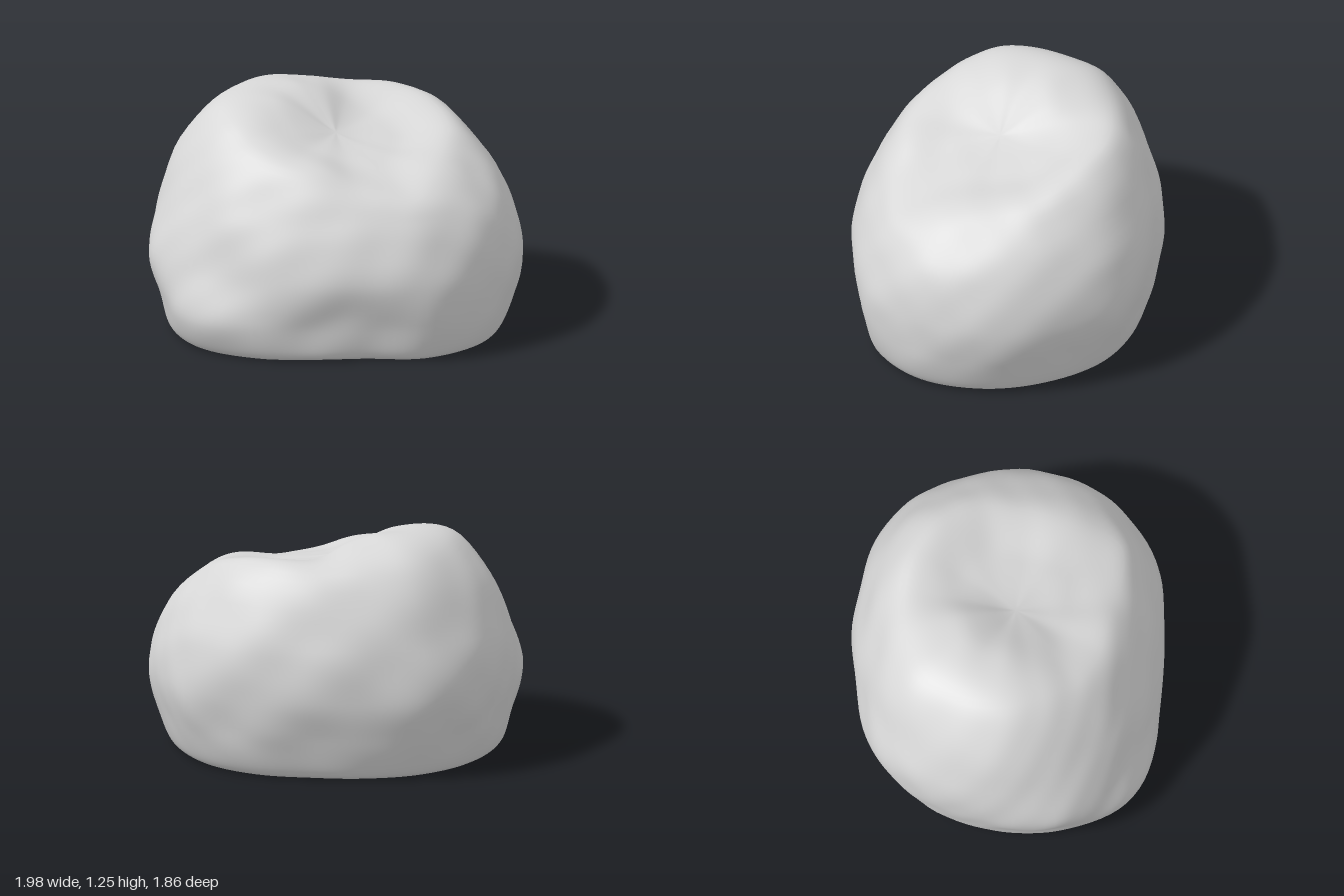
import * as THREE from 'three';

// One profile per 22.5 degrees, from +x towards +z:
// radius at y = 0.025, 0.2, 0.45, 0.75, then rim radius, rim height, height halfway to the middle
const PROFILES = [
  [0.91, 0.97, 0.98, 0.88, 0.64, 0.95, 0.99],
  [0.85, 0.90, 0.92, 0.81, 0.72, 0.86, 0.97],
  [0.72, 0.77, 0.82, 0.72, 0.58, 0.92, 0.99],
  [0.73, 0.76, 0.80, 0.70, 0.52, 0.99, 1.02],
  [0.82, 0.88, 0.83, 0.73, 0.54, 1.03, 1.05],
  [0.91, 0.98, 0.91, 0.80, 0.58, 1.08, 1.11],
  [0.91, 0.96, 1.01, 0.89, 0.60, 1.17, 1.17],
  [0.88, 0.94, 0.98, 0.94, 0.66, 1.19, 1.22],
  [0.86, 0.94, 1.00, 0.95, 0.70, 1.17, 1.23],
  [0.82, 0.90, 0.96, 0.92, 0.72, 1.15, 1.24],
  [0.77, 0.84, 0.89, 0.85, 0.65, 1.15, 1.20],
  [0.75, 0.82, 0.88, 0.85, 0.64, 1.14, 1.13],
  [0.80, 0.87, 0.92, 0.89, 0.64, 1.14, 1.08],
  [0.85, 0.93, 0.98, 0.92, 0.65, 1.12, 1.05],
  [0.87, 0.94, 0.98, 0.92, 0.66, 1.05, 1.02],
  [0.90, 0.97, 1.00, 0.90, 0.62, 0.99, 1.00],
];
const HEIGHTS = [0.025, 0.2, 0.45, 0.75];
const AROUND = 112, UP = 60;

// Gentle lumps, fading out at the ground
function lump(p) {
  const n = Math.sin(7 * p.x + 3 * p.y + 1) * Math.sin(6 * p.z - 4 * p.y) +
    0.6 * Math.sin(13 * p.x - 5 * p.z + 2) * Math.sin(12 * p.y + 6 * p.z) +
    0.3 * Math.sin(21 * p.z + 9 * p.x) * Math.sin(19 * p.y - 8 * p.x);
  return 1 + 0.009 * n * Math.min(1, p.y * 4);
}

function makeColumns() {
  // Closed guide curves running around the boulder
  const guide = (radius, height) => new THREE.CatmullRomCurve3(PROFILES.map((p, i) => {
    const a = (i / PROFILES.length) * Math.PI * 2;
    return new THREE.Vector3(radius(p) * Math.cos(a), height(p), radius(p) * Math.sin(a));
  }), true, 'catmullrom', 0.5);
  const rim = guide(p => p[4], p => p[5]);
  const hollow = guide(p => p[4] / 2, p => p[6]);
  const guides = [
    guide(p => p[0] - 0.04, () => 0),
    ...HEIGHTS.map((y, k) => guide(p => p[k], () => y)),
    rim, hollow,
  ];
  // Upright curves through the guides, running on across the hollow so that it stays smooth
  const columns = [];
  for (let i = 0; i < AROUND; i++) {
    const opposite = (i / AROUND + 0.5) % 1;
    const points = [
      ...guides.map(g => g.getPoint(i / AROUND)),
      new THREE.Vector3(0, 1.06, 0),
      hollow.getPoint(opposite), rim.getPoint(opposite),
    ];
    const curve = new THREE.CatmullRomCurve3(points);
    const end = guides.length / (points.length - 1);
    const column = [];
    for (let j = 0; j <= UP; j++) {
      const p = curve.getPoint((j / UP) * end);
      const s = lump(p);
      p.set(p.x * s, Math.max(0, 0.5 + (p.y - 0.5) * s), p.z * s);
      column.push(p);
    }
    columns.push(column);
  }
  return columns;
}

function geometryFrom(positions, indices) {
  const g = new THREE.BufferGeometry();
  g.setAttribute('position', new THREE.Float32BufferAttribute(positions, 3));
  g.setIndex(indices);
  g.computeVertexNormals();
  return g;
}

export function createModel() {
  const group = new THREE.Group();
  group.name = 'boulder';
  const stone = new THREE.MeshStandardMaterial({ color: 0xd8d8d8 });
  stone.name = 'grey stone';
  const columns = makeColumns();

  // Sides and top, closed by a single middle vertex
  const positions = [], indices = [];
  for (const c of columns) for (let j = 0; j < UP; j++) positions.push(c[j].x, c[j].y, c[j].z);
  const tip = columns[0][UP], middle = AROUND * UP;
  positions.push(tip.x, tip.y, tip.z);
  for (let i = 0; i < AROUND; i++) {
    const a = i * UP, b = ((i + 1) % AROUND) * UP;
    for (let j = 0; j < UP - 1; j++) {
      indices.push(a + j, a + j + 1, b + j, b + j, a + j + 1, b + j + 1);
    }
    indices.push(a + UP - 1, middle, b + UP - 1);
  }
  const body = new THREE.Mesh(geometryFrom(positions, indices), stone);
  body.name = 'boulderBody';

  // Flat underside
  const basePoints = [0, 0, 0], baseFaces = [];
  columns.forEach((c, i) => {
    basePoints.push(c[0].x, c[0].y, c[0].z);
    baseFaces.push(0, i + 1, ((i + 1) % AROUND) + 1);
  });
  const underside = new THREE.Mesh(geometryFrom(basePoints, baseFaces), stone);
  underside.name = 'underside';

  group.add(body, underside);
  // Centre over the origin
  const mid = new THREE.Box3().setFromObject(group).getCenter(new THREE.Vector3());
  for (const m of group.children) m.geometry.translate(-mid.x, 0, -mid.z);
  return group;
}
